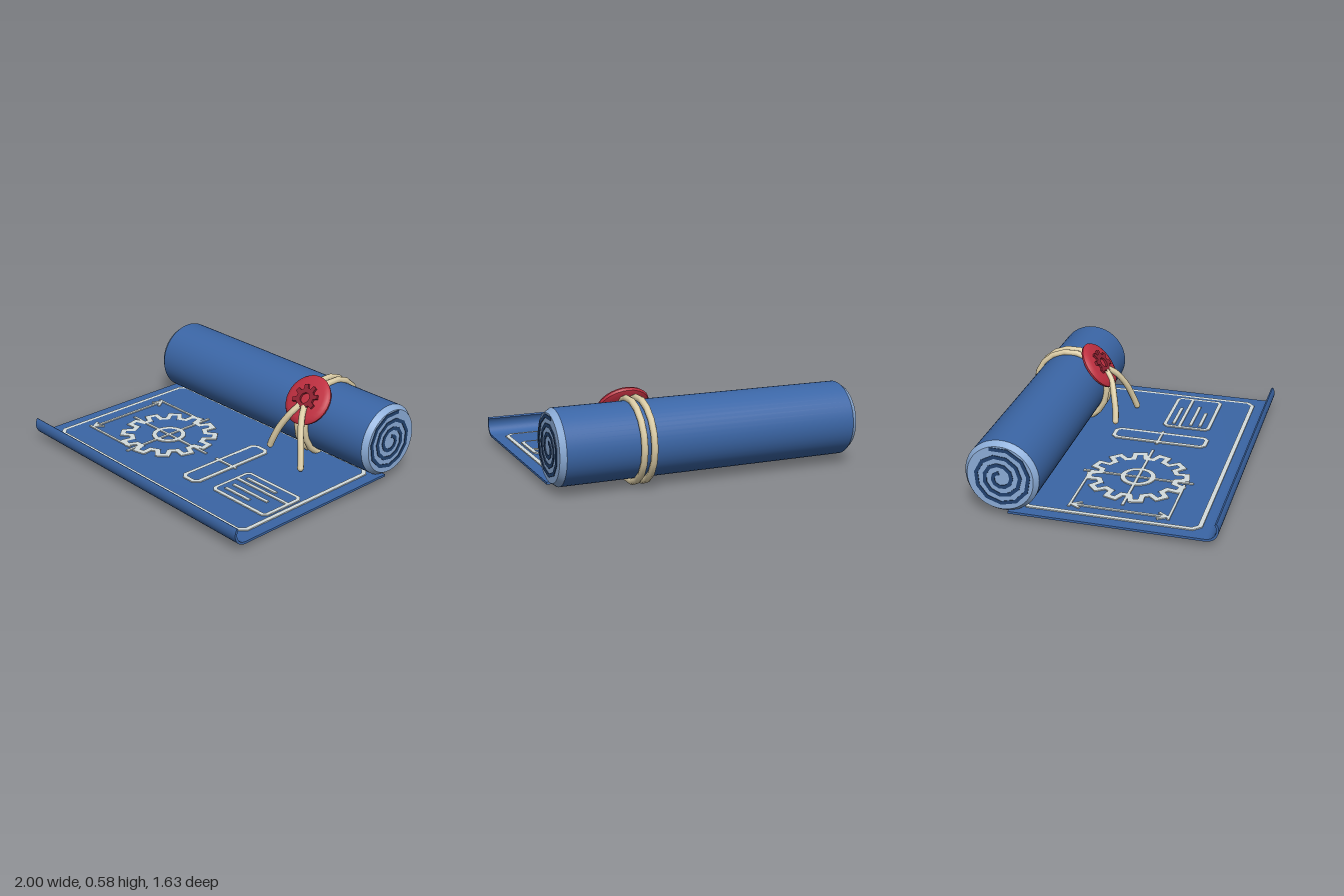
import * as THREE from 'three';
import { toCreasedNormals } from 'three/addons/utils/BufferGeometryUtils.js';

const mat = (name, color) => {
  const m = new THREE.MeshStandardMaterial({ color });
  m.name = name;
  return m;
};

// Flat band of constant width along a polyline, with mitred corners
function band(points, width, closed, depth) {
  const p = points.map(([x, y]) => new THREE.Vector2(x, y));
  const n = p.length;
  const side = (s) => p.map((q, i) => {
    const a = closed || i > 0 ? p[(i + n - 1) % n] : null;
    const b = closed || i < n - 1 ? p[(i + 1) % n] : null;
    const d1 = (a ? q.clone().sub(a) : b.clone().sub(q)).normalize();
    const d2 = (b ? b.clone().sub(q) : q.clone().sub(a)).normalize();
    const m = new THREE.Vector2(-d1.y - d2.y, d1.x + d2.x).normalize();
    const k = Math.max(0.4, m.x * -d1.y + m.y * d1.x);
    return q.clone().addScaledVector(m, (s * width) / 2 / k);
  });
  let shape;
  if (closed) {
    const loops = [side(1), side(-1)].sort((a, b) =>
      Math.abs(THREE.ShapeUtils.area(b)) - Math.abs(THREE.ShapeUtils.area(a)));
    shape = new THREE.Shape(loops[0]);
    shape.holes.push(new THREE.Path(loops[1]));
  } else {
    shape = new THREE.Shape([...side(1), ...side(-1).reverse()]);
  }
  return new THREE.ExtrudeGeometry(shape, { depth, bevelEnabled: false });
}

// Closed gear outline
function gearPoints(teeth, root, tip, phase) {
  const pts = [];
  const step = (Math.PI * 2) / teeth;
  for (let i = 0; i < teeth; i++) {
    for (const [f, r] of [[-0.3, root], [-0.19, tip], [0.19, tip], [0.3, root]]) {
      const a = phase + (i + f) * step;
      pts.push([r * Math.cos(a), r * Math.sin(a)]);
    }
  }
  return pts;
}

const circlePoints = (r, n) => Array.from({ length: n }, (_, i) => {
  const a = (i / n) * Math.PI * 2;
  return [r * Math.cos(a), r * Math.sin(a)];
});

// Rectangle with cut corners
const cutRect = (x0, z0, x1, z1, c) => [
  [x0 + c, z0], [x1 - c, z0], [x1, z0 + c], [x1, z1 - c],
  [x1 - c, z1], [x0 + c, z1], [x0, z1 - c], [x0, z0 + c],
];

export function createModel() {
  const paper = mat('blueprint blue', 0x3b66a6);
  const paleEdge = mat('pale paper edge', 0x8cadd8);
  const darkEdge = mat('dark spiral blue', 0x22426f);
  const ink = mat('drawing white', 0xd3dcdd);
  const twine = mat('twine', 0xdccda6);
  const wax = mat('red wax', 0xbf2f40);
  const darkWax = mat('dark red wax', 0x8f2131);

  const model = new THREE.Group();
  model.name = 'blueprintScroll';
  const add = (name, geo, material, parent = model) => {
    const mesh = new THREE.Mesh(geo, material);
    mesh.name = name;
    parent.add(mesh);
    return mesh;
  };

  const CY = 0.282, CZ = -0.54, R = 0.238;

  // Unrolled sheet with a curled front edge (section drawn as -z, y)
  const section = [[0.5, 0.045], [0.5, 0.06]];
  const arc = (r, i) => {
    const a = THREE.MathUtils.degToRad(-90 + (125 * i) / 12);
    return [-(0.73 + r * Math.cos(a)), 0.125 + r * Math.sin(a)];
  };
  for (let i = 0; i <= 12; i++) section.push(arc(0.065, i));
  for (let i = 12; i >= 0; i--) section.push(arc(0.08, i));
  const sheet = new THREE.ExtrudeGeometry(
    new THREE.Shape(section.map(([x, y]) => new THREE.Vector2(x, y))),
    { depth: 2, bevelEnabled: false });
  sheet.rotateY(Math.PI / 2).translate(-1, 0, 0);
  add('sheet', toCreasedNormals(sheet, 0.6), paper);

  // Rolled part
  const roll = new THREE.CylinderGeometry(R, R, 1.92, 48, 1, true);
  roll.rotateZ(Math.PI / 2).translate(0, CY, CZ);
  add('roll', roll, paper);

  // Bevelled roll ends with a paper spiral
  for (const s of [1, -1]) {
    const cap = new THREE.CylinderGeometry(0.212, R, 0.036, 48);
    cap.rotateZ((-s * Math.PI) / 2).translate(s * 0.978, CY, CZ);
    add('rollEnd', cap, paleEdge);

    const spiral = [];
    for (let i = 0; i <= 33; i++) {
      const a = THREE.MathUtils.degToRad(72 + i * 33);
      const r = 0.2 - 0.167 * (i / 33);
      spiral.push([s * r * Math.cos(a), r * Math.sin(a)]);
    }
    const geo = band(spiral, 0.023, false, 0.005);
    geo.rotateY((s * Math.PI) / 2).translate(s * 0.995, CY, CZ);
    add('endSpiral', geo, darkEdge);
  }

  // Drawing on the sheet, points given as x, z
  const drawing = new THREE.Group();
  drawing.name = 'drawing';
  model.add(drawing);
  const draw = (name, pts, width, closed = false, ox = 0, oz = 0) => {
    const geo = band(pts.map(([x, z]) => [x + ox, -z - oz]), width, closed, 0.008);
    geo.rotateX(-Math.PI / 2).translate(0, 0.0595, 0);
    add(name, geo, ink, drawing);
  };
  const GX = -0.37, GZ = 0.155;
  draw('border', cutRect(-0.91, -0.44, 0.91, 0.673, 0.04), 0.028, true);
  draw('gearOutline', gearPoints(12, 0.25, 0.315, -0.21), 0.036, true, GX, GZ);
  draw('gearHub', circlePoints(0.098, 28), 0.033, true, GX, GZ);
  draw('centreLine', [[GX, -0.21], [GX, 0.52]], 0.018);
  draw('centreLine', [[-0.745, GZ], [0.015, GZ]], 0.018);
  draw('dimensionLine', [[-0.815, -0.15], [-0.815, 0.46]], 0.018);
  for (const [z, d] of [[-0.16, 1], [0.468, -1]]) {
    draw('extensionLine', [[-0.845, z], [-0.4, z]], 0.016);
    draw('arrowHead', [[-0.85, z + d * 0.07], [-0.815, z + d * 0.01], [-0.775, z + d * 0.07]], 0.018);
  }
  draw('sideView', cutRect(0.145, -0.16, 0.272, 0.472, 0.025), 0.028, true);
  draw('sideCentreLine', [[0.11, GZ], [0.305, GZ]], 0.018);
  draw('titleBlock', cutRect(0.405, 0.137, 0.865, 0.443, 0.02), 0.025, true);
  for (const [x0, x1, z] of [[0.41, 0.86, 0.24], [0.45, 0.71, 0.192], [0.45, 0.757, 0.312], [0.45, 0.665, 0.378]]) {
    draw('titleLine', [[x0, z], [x1, z]], 0.022);
  }

  // Twine loops around the roll
  for (const x of [0.418, 0.482]) {
    const loop = new THREE.TorusGeometry(0.255, 0.022, 8, 18);
    loop.rotateY(Math.PI / 2).translate(x, CY - 0.004, CZ);
    add('twineLoop', loop, twine);
  }

  // Loose twine ends
  const tails = [
    [[0.43, 0.42, -0.29], [0.4, 0.37, -0.245], [0.335, 0.26, -0.205], [0.297, 0.17, -0.185], [0.275, 0.115, -0.18]],
    [[0.47, 0.42, -0.29], [0.5, 0.38, -0.24], [0.55, 0.28, -0.18], [0.59, 0.18, -0.145], [0.617, 0.09, -0.118]],
  ];
  for (const pts of tails) {
    const v = pts.map((p) => new THREE.Vector3(...p));
    add('twineTail', new THREE.TubeGeometry(new THREE.CatmullRomCurve3(v), 14, 0.022, 8), twine);
    const tip = new THREE.SphereGeometry(0.022, 8, 6);
    tip.translate(...pts[pts.length - 1]);
    add('twineTip', tip, twine);
  }

  // Wax seal with a raised gear
  const seal = new THREE.Group();
  seal.name = 'seal';
  seal.position.set(0.45, 0.445, -0.345);
  seal.rotation.x = 0.9;
  model.add(seal);
  const profile = [[0, -0.027], [0.145, -0.027], [0.168, -0.014], [0.173, 0.002],
    [0.162, 0.018], [0.135, 0.027], [0, 0.027]].map(([x, y]) => new THREE.Vector2(x, y));
  add('waxDisc', toCreasedNormals(new THREE.LatheGeometry(profile, 28), 0.7), wax, seal);
  const gear = new THREE.Shape(gearPoints(8, 0.068, 0.096, Math.PI / 8).map(([x, y]) => new THREE.Vector2(x, y)));
  gear.holes.push(new THREE.Path(circlePoints(0.036, 16).map(([x, y]) => new THREE.Vector2(x, y))));
  const emblem = new THREE.ExtrudeGeometry(gear, { depth: 0.018, bevelEnabled: false });
  emblem.rotateX(-Math.PI / 2).translate(0, 0.024, 0);
  add('waxGear', emblem, darkWax, seal);

  return model;
}
